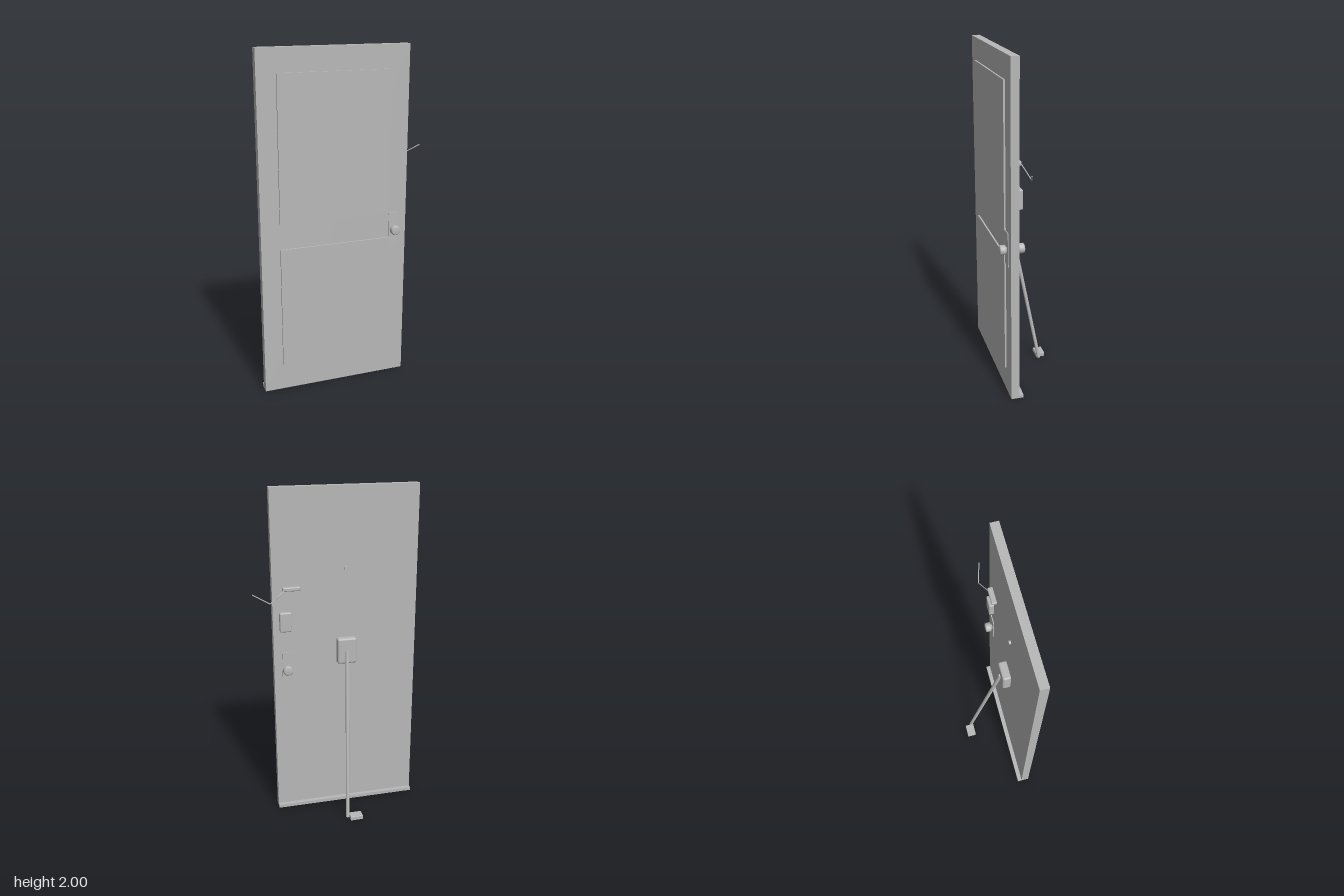
import * as THREE from 'three';
import { RoundedBoxGeometry } from 'three/addons/geometries/RoundedBoxGeometry.js';

export function createModel() {
  const model = new THREE.Group();
  model.name = 'door';
  const grey = new THREE.MeshStandardMaterial({ color: 0xb8b8b8 });
  grey.name = 'plain grey';

  const add = (name, geometry) => {
    const mesh = new THREE.Mesh(geometry, grey);
    mesh.name = name;
    model.add(mesh);
    return mesh;
  };
  // Box given by its limits on each axis, optionally with rounded edges
  const box = (name, [x0, x1], [y0, y1], [z0, z1], radius = 0) => {
    const size = [x1 - x0, y1 - y0, z1 - z0];
    const geometry = radius ? new RoundedBoxGeometry(...size, 3, radius) : new THREE.BoxGeometry(...size);
    return add(name, geometry.translate((x0 + x1) / 2, (y0 + y1) / 2, (z0 + z1) / 2));
  };
  // Straight round rod between two points
  const rod = (name, a, b, radius, sides) => {
    const from = new THREE.Vector3(...a), to = new THREE.Vector3(...b);
    const mesh = add(name, new THREE.CylinderGeometry(radius, radius, from.distanceTo(to), sides));
    mesh.position.copy(from).lerp(to, 0.5);
    mesh.quaternion.setFromUnitVectors(new THREE.Vector3(0, 1, 0), to.sub(from).normalize());
    return mesh;
  };

  // Door leaf, raised front panels and bottom strip
  box('doorLeaf', [-0.5, 0.379], [0, 2], [0.094, 0.142]);
  box('upperPanel', [-0.39, 0.27], [1.036, 1.867], [0.14, 0.152]);
  box('lowerPanel', [-0.39, 0.27], [0.151, 0.884], [0.14, 0.152]);
  box('bottomStrip', [-0.5, 0.379], [0, 0.02], [0.068, 0.095]);

  // Lock plates and rounded knobs on both sides
  box('frontLockPlate', [0.27, 0.33], [0.837, 1.036], [0.14, 0.147]);
  box('backLockPlate', [0.27, 0.33], [0.837, 1.036], [0.088, 0.096]);
  const knobProfile = [[0.016, 0], [0.016, 0.008], [0.023, 0.009], [0.027, 0.011], [0.029, 0.016],
    [0.029, 0.036], [0.027, 0.042], [0.022, 0.045], [0, 0.046]].map(([r, h]) => new THREE.Vector2(r, h));
  for (const [name, side, z] of [['frontKnob', 1, 0.144], ['backKnob', -1, 0.09]]) {
    const knob = add(name, new THREE.LatheGeometry(knobProfile, 24));
    knob.position.set(0.302, 0.932, z);
    knob.rotation.x = side * Math.PI / 2;
  }

  // Bolt housing, peephole and chain holder on the back
  box('boltHousing', [0.272, 0.342], [1.171, 1.288], [0.063, 0.096], 0.008);
  rod('peephole', [-0.06, 1.524, 0.095], [-0.06, 1.524, 0.082], 0.011, 20);
  box('chainHolder', [0.217, 0.32], [1.414, 1.437], [0.064, 0.096], 0.006);

  // Bent chain hanging past the door edge
  const chain = [[0.313, 1.42, 0.064], [0.4, 1.357, 0.034], [0.497, 1.41, 0.063]];
  for (let i = 0; i < 2; i++) rod('chain' + (i + 1), chain[i], chain[i + 1], 0.003, 8);

  // Brace: mounting pad, slanting bar and floor foot
  box('bracePad', [-0.117, 0], [0.95, 1.108], [0.044, 0.096], 0.012);
  rod('braceBar', [-0.057, 1.03, 0.045], [-0.012, 0.005, -0.148], 0.011, 16);
  box('braceFoot', [-0.099, -0.021], [0, 0.026], [-0.19, -0.134], 0.003);

  return model;
}
